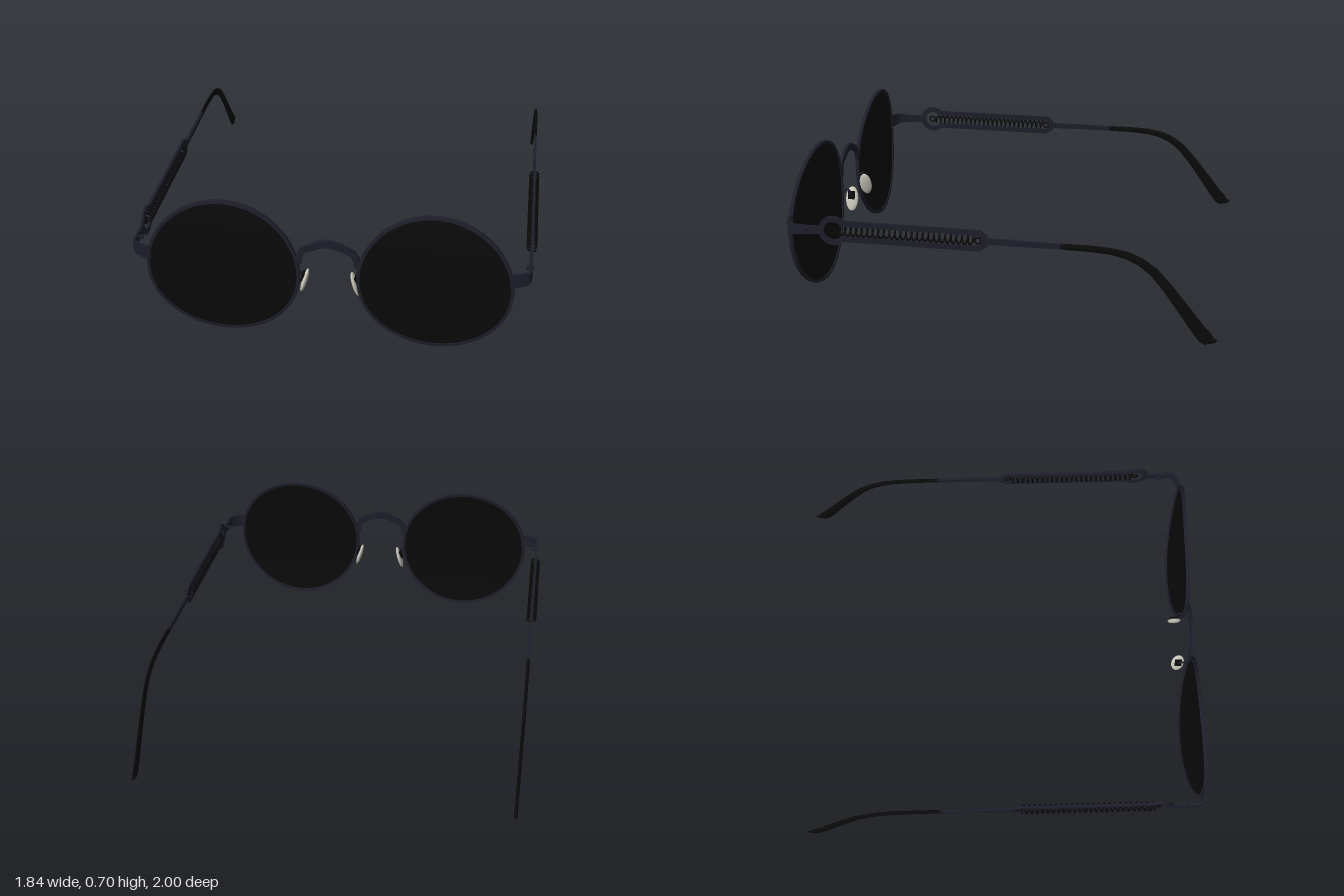
import * as THREE from 'three';
import { toCreasedNormals } from 'three/addons/utils/BufferGeometryUtils.js';

const paint = (name, color) => {
  const m = new THREE.MeshStandardMaterial({ color });
  m.name = name;
  return m;
};
const frameMetal = paint('frameMetal', 0x1e1e2b);
const black = paint('black', 0x0a0a0a);
const padSilicone = paint('padSilicone', 0xccc8bc);

const V = (x, y, z) => new THREE.Vector3(x, y, z);
const ARM_X = 0.895, ARM_Y = 0.428;

function part(name, geometry, material) {
  const mesh = new THREE.Mesh(geometry, material);
  mesh.name = name;
  return mesh;
}

// Sweeps a section along rows of [x, y, z, halfSizeAlongAxis, halfSizeAcross]
function loft(rows, axis, sides) {
  const pts = rows.map(r => V(r[0], r[1], r[2]));
  const pos = [], idx = [], n = rows.length;
  const k = sides === 4 ? Math.SQRT2 : 1;
  rows.forEach((r, i) => {
    const t = pts[Math.min(i + 1, n - 1)].clone().sub(pts[Math.max(i - 1, 0)]).normalize();
    const b = t.clone().cross(axis).normalize();
    for (let j = 0; j < sides; j++) {
      const a = (j + 0.5) / sides * Math.PI * 2;
      const p = pts[i].clone()
        .addScaledVector(axis, Math.cos(a) * r[3] * k)
        .addScaledVector(b, Math.sin(a) * r[4] * k);
      pos.push(p.x, p.y, p.z);
    }
  });
  for (let i = 0; i < n - 1; i++) {
    for (let j = 0; j < sides; j++) {
      const a = i * sides + j, b = i * sides + (j + 1) % sides;
      idx.push(a, b, b + sides, a, b + sides, a + sides);
    }
  }
  const last = (n - 1) * sides;
  for (let j = 1; j < sides - 1; j++) {
    idx.push(0, j + 1, j, last, last + j, last + j + 1);
  }
  const g = new THREE.BufferGeometry();
  g.setAttribute('position', new THREE.Float32BufferAttribute(pos, 3));
  g.setIndex(idx);
  return toCreasedNormals(g, 0.7);
}

// Turned disc or ring, bowed backwards at top and bottom
function bowedLathe(profile) {
  const g = new THREE.LatheGeometry(profile.map(p => new THREE.Vector2(...p)), 72);
  g.rotateX(Math.PI / 2);
  const p = g.attributes.position;
  for (let i = 0; i < p.count; i++) {
    const x = p.getX(i), y = p.getY(i);
    p.setZ(i, p.getZ(i) + 0.981 - 0.028 * (y / 0.35) ** 2 + 0.007 * x / 0.35);
  }
  g.translate(0.478, 0.35, 0);
  return toCreasedNormals(g, 0.7);
}

// Long keyhole outline: a round eye that runs into a straight slot
function keyhole(path, r, half, end, chamfer) {
  const a = Math.PI - Math.asin(half / r);
  path.absarc(0.752, ARM_Y, r, -a, a, false);
  path.lineTo(end + chamfer, ARM_Y + half);
  path.lineTo(end, ARM_Y + half - chamfer * 0.7);
  path.lineTo(end, ARM_Y - half + chamfer * 0.7);
  path.lineTo(end + chamfer, ARM_Y - half);
  path.closePath();
  return path;
}

function springCurve() {
  const curve = new THREE.Curve();
  curve.getPoint = (t, target = V(0, 0, 0)) => {
    const a = t * 25 * Math.PI * 2;
    return target.set(ARM_X + 0.021 * Math.cos(a), ARM_Y + 0.019 * Math.sin(a), 0.09 + 0.65 * t);
  };
  return curve;
}

function createSide(name) {
  const side = new THREE.Group();
  side.name = name;

  // Lens and rim
  const radii = [0, 0.08, 0.16, 0.24, 0.3, 0.339];
  side.add(part('lens', bowedLathe([
    ...radii.map(r => [r, -0.003]),
    ...radii.slice().reverse().map(r => [r, 0.003]),
  ]), black));
  side.add(part('rim', bowedLathe([
    [0.336, -0.009], [0.349, -0.009], [0.351, 0], [0.349, 0.009], [0.336, 0.009], [0.336, -0.009],
  ]), frameMetal));

  // Endpiece bending from the rim to the arm
  side.add(part('endpiece', loft([
    [0.808, 0.418, 0.988, 0.032, 0.007],
    [0.835, 0.42, 0.989, 0.034, 0.007],
    [0.885, 0.422, 0.966, 0.031, 0.007],
    [ARM_X, 0.423, 0.945, 0.025, 0.006],
    [ARM_X, 0.424, 0.89, 0.021, 0.006],
    [ARM_X, 0.428, 0.81, 0.018, 0.006],
  ], V(0, 1, 0), 4), frameMetal));
  const hinge = part('hingeScrew', new THREE.CylinderGeometry(0.01, 0.01, 0.034, 12), frameMetal);
  hinge.rotation.z = Math.PI / 2;
  hinge.position.set(0.89, 0.424, 0.885);
  side.add(hinge);

  // Keyhole arm frame
  const shape = keyhole(new THREE.Shape(), 0.07, 0.05, 0.035, 0.035);
  shape.holes.push(keyhole(new THREE.Path(), 0.044, 0.025, 0.062, 0.014));
  const frame = new THREE.ExtrudeGeometry(shape, { depth: 0.012, bevelEnabled: false, curveSegments: 28 });
  frame.rotateY(-Math.PI / 2);
  frame.translate(ARM_X + 0.006, 0, 0);
  side.add(part('armFrame', toCreasedNormals(frame, 0.5), frameMetal));

  // Coil spring with a hook at each end
  side.add(part('spring', new THREE.TubeGeometry(springCurve(), 400, 0.0045, 5), black));
  for (const z of [0.755, 0.077]) {
    const hook = part('springHook', new THREE.TorusGeometry(0.015, 0.0045, 6, 18), black);
    hook.rotation.y = Math.PI / 2;
    hook.position.set(ARM_X, ARM_Y, z);
    side.add(hook);
  }

  // Rear bar and curved ear tip
  side.add(part('armBar', loft([
    [ARM_X, ARM_Y, 0.045, 0.006, 0.014],
    [ARM_X, ARM_Y, -0.31, 0.006, 0.012],
  ], V(1, 0, 0), 4), frameMetal));
  const tip = [
    [0.428, -0.295, 0.014], [0.428, -0.42, 0.015], [0.422, -0.52, 0.016], [0.408, -0.59, 0.018],
    [0.382, -0.65, 0.02], [0.338, -0.71, 0.022], [0.27, -0.77, 0.024], [0.165, -0.85, 0.028],
    [0.07, -0.92, 0.032], [0.04, -0.948, 0.034], [0.024, -0.966, 0.026],
  ];
  side.add(part('earTip', loft(
    tip.map(([y, z, h]) => [ARM_X, y, z, 0.008, h]), V(1, 0, 0), 12), black));
  // Rounded foot of the ear tip
  const foot = part('earTipEnd', new THREE.SphereGeometry(1, 16, 10), black);
  foot.scale.set(0.008, 0.016, 0.036);
  foot.position.set(ARM_X, 0.027, -0.964);
  foot.rotation.x = 0.1;
  side.add(foot);

  // Nose pad on a wire bracket
  const wire = new THREE.CatmullRomCurve3([
    V(0.14, 0.28, 0.972), V(0.14, 0.315, 0.968), V(0.136, 0.34, 0.952),
    V(0.132, 0.338, 0.936), V(0.127, 0.31, 0.928),
  ]);
  side.add(part('padWire', new THREE.TubeGeometry(wire, 24, 0.005, 8), frameMetal));
  const mount = part('padMount', new THREE.BoxGeometry(0.012, 0.042, 0.034), black);
  mount.position.set(0.124, 0.308, 0.926);
  mount.rotation.z = 0.28;
  side.add(mount);
  const pad = part('nosePad', new THREE.SphereGeometry(1, 24, 16), padSilicone);
  pad.scale.set(0.012, 0.064, 0.033);
  pad.position.set(0.116, 0.286, 0.926);
  pad.rotation.z = 0.28;
  side.add(pad);
  return side;
}

export function createModel() {
  const model = new THREE.Group();
  model.name = 'roundSunglasses';

  const left = createSide('leftSide');
  const right = createSide('rightSide');
  right.scale.x = -1;
  model.add(left, right);

  // Arched bridge
  const half = [
    [0.132, 0.41, 0.013], [0.128, 0.455, 0.014], [0.113, 0.484, 0.015],
    [0.05, 0.514, 0.017], [0.022, 0.524, 0.018],
  ];
  const row = s => ([x, y, h]) => [s * x, y, 0.973, 0.008, h];
  model.add(part('bridge', loft([
    ...half.map(row(-1)), [0, 0.526, 0.973, 0.008, 0.019], ...half.slice().reverse().map(row(1)),
  ], V(0, 0, 1), 4), frameMetal));
  return model;
}
